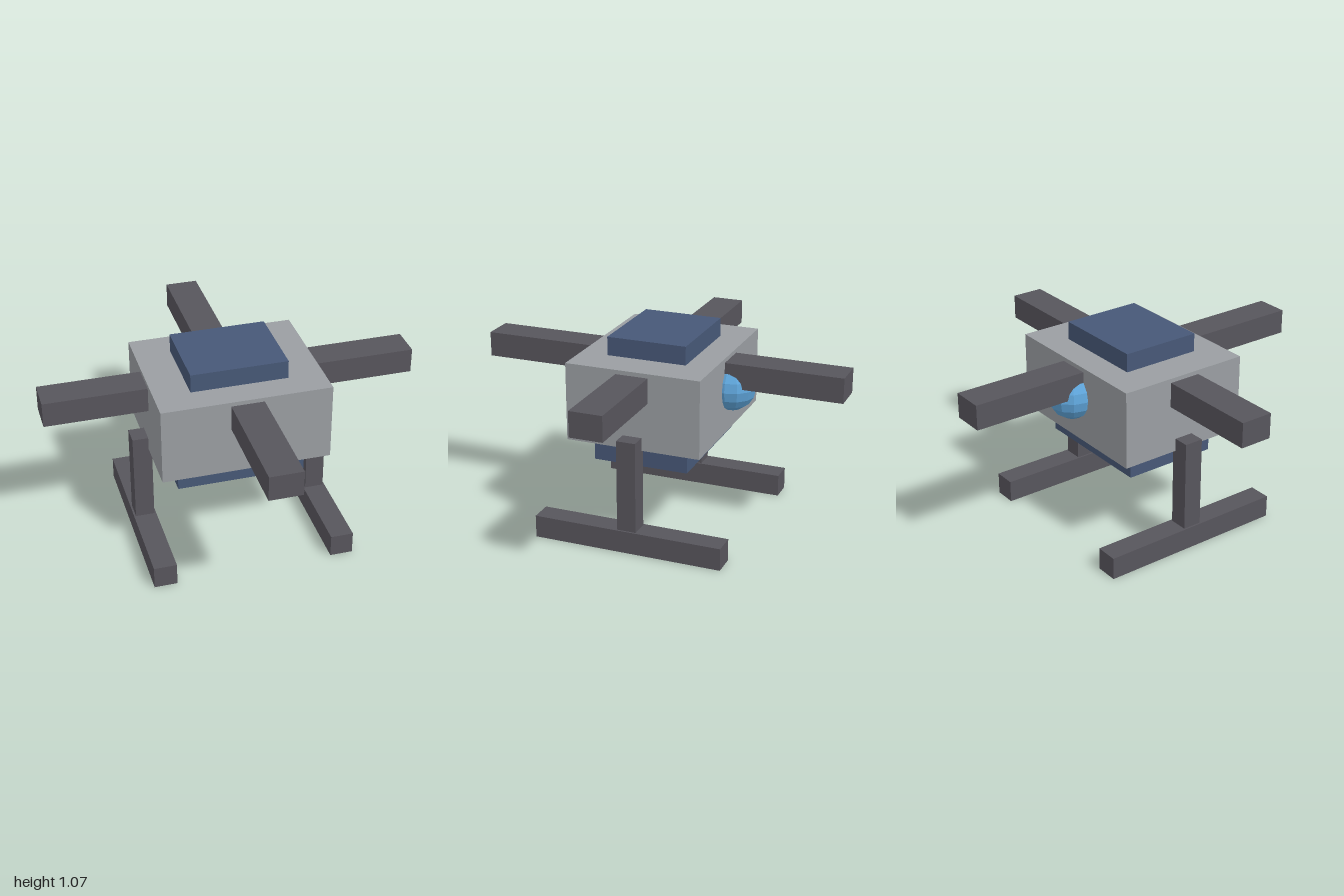
import * as THREE from 'three';

export function createModel() {
  const root = new THREE.Group();
  root.name = 'drone';

  const material = (name, color) => {
    const m = new THREE.MeshStandardMaterial({ color });
    m.name = name;
    return m;
  };
  const grey = material('light grey', 0x9a9ea2);
  const dark = material('dark grey', 0x57555c);
  const navy = material('navy blue', 0x475877);
  const sky = material('sky blue', 0x5fa5da);

  const add = (name, geometry, mat) => {
    const mesh = new THREE.Mesh(geometry, mat);
    mesh.name = name;
    root.add(mesh);
    return mesh;
  };
  // Box given by its lower and upper limits on each axis
  const box = (name, mat, [x0, x1], [y0, y1], [z0, z1]) =>
    add(name, new THREE.BoxGeometry(x1 - x0, y1 - y0, z1 - z0), mat)
      .position.set((x0 + x1) / 2, (y0 + y1) / 2, (z0 + z1) / 2);

  // Hull with its top and belly blocks
  box('body', grey, [-0.453, 0.453], [0.55, 0.97], [-0.367, 0.367]);
  box('topCover', navy, [-0.26, 0.26], [0.97, 1.07], [-0.217, 0.217]);
  box('bellyBlock', navy, [-0.346, 0.346], [0.413, 0.55], [-0.26, 0.26]);

  // Four arms in a cross
  for (let i = 0; i < 4; i++) {
    const inner = i % 2 ? 0.367 : 0.453;
    const geometry = new THREE.BoxGeometry(1 - inner, 0.135, 0.176);
    geometry.translate((1 + inner) / 2, 0.88, 0);
    add('arm', geometry, dark).rotation.y = (i * Math.PI) / 2;
  }

  // Landing gear on both sides
  for (const s of [-1, 1]) {
    const side = s > 0 ? 'left' : 'right';
    const span = (a, b) => (s > 0 ? [a, b] : [-b, -a]);
    box(side + 'Strut', dark, span(0.435, 0.538), [0.12, 0.62], [-0.052, 0.052]);
    box(side + 'Skid', dark, span(0.425, 0.548), [0, 0.122], [-0.52, 0.52]);
  }

  // Faceted camera ball on the back, under the rear arm
  const ball = new THREE.SphereGeometry(0.13, 12, 8).toNonIndexed();
  ball.computeVertexNormals();
  add('cameraBall', ball, sky).position.set(0, 0.795, -0.38);

  return root;
}
